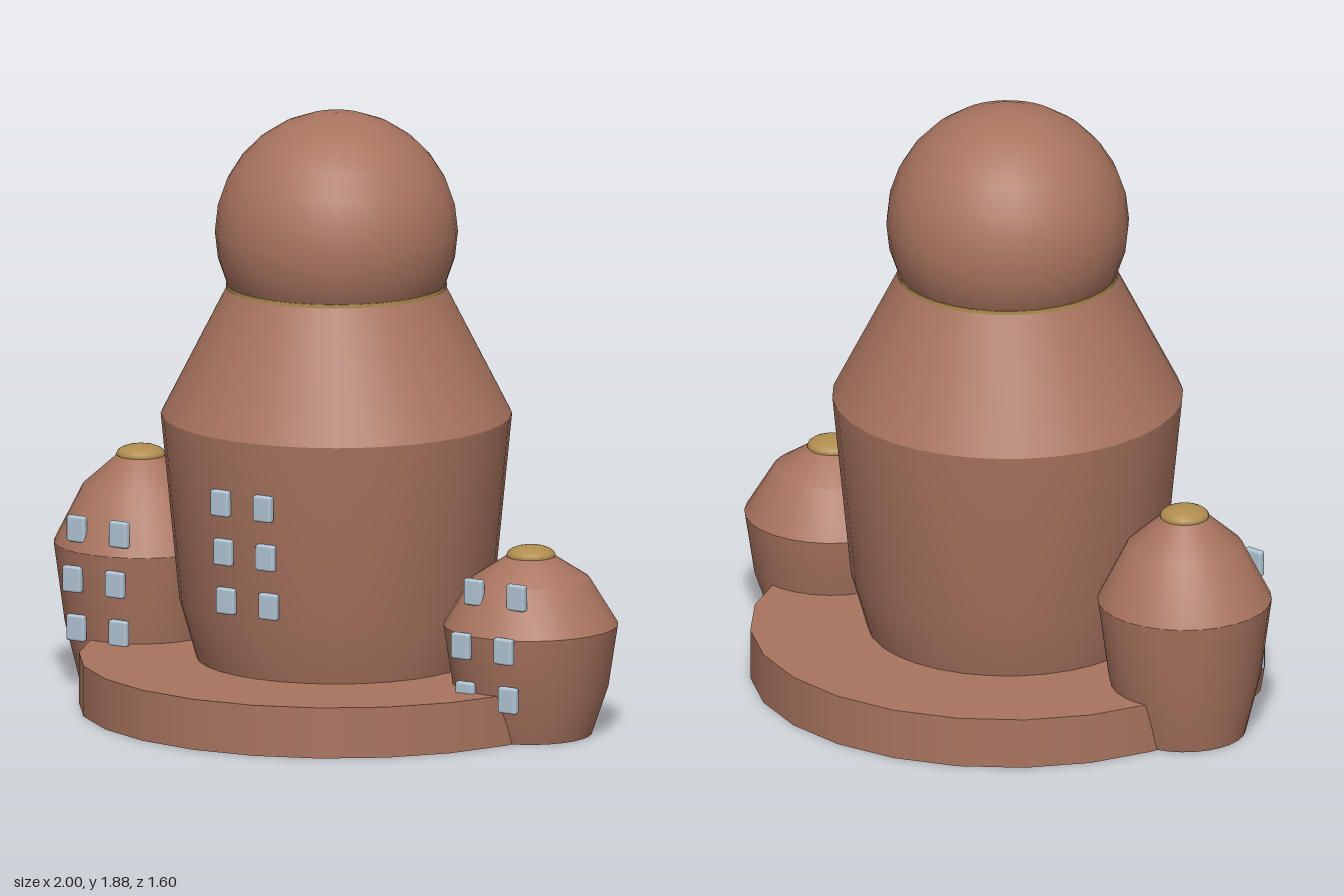
import * as THREE from 'three';
import { toCreasedNormals } from 'three/addons/utils/BufferGeometryUtils.js';
import { RoundedBoxGeometry } from 'three/addons/geometries/RoundedBoxGeometry.js';

function material(name, color) {
  const m = new THREE.MeshStandardMaterial({ color });
  m.name = name;
  return m;
}

export function createModel() {
  const clay = material('clay brown', 0xa9745f);
  const gold = material('dull gold', 0xb08d4f);
  const glass = material('pale blue glass', 0xb0c4d4);
  const model = new THREE.Group();
  model.name = 'clayTowers';

  function add(parent, name, geometry, mat, x = 0, y = 0, z = 0) {
    const mesh = new THREE.Mesh(geometry, mat);
    mesh.name = name;
    mesh.position.set(x, y, z);
    parent.add(mesh);
    return mesh;
  }

  // Closed turned body from [radius, height] pairs, sharp at the shoulder
  function turned(profile, segments) {
    const first = profile[0], last = profile[profile.length - 1];
    const points = [[0, first[1]], ...profile, [0, last[1]]].map(([r, y]) => new THREE.Vector2(r, y));
    return toCreasedNormals(new THREE.LatheGeometry(points, segments), 0.45);
  }

  // Radius of a profile at a given height
  function radiusAt(profile, y) {
    for (let i = 1; i < profile.length; i++) {
      const [r0, y0] = profile[i - 1], [r1, y1] = profile[i];
      if (y <= y1) return r0 + (r1 - r0) * (y - y0) / (y1 - y0);
    }
    return profile[profile.length - 1][0];
  }

  // Three rows of paired windows on the front of a body
  const pane = new RoundedBoxGeometry(0.067, 0.083, 0.025, 2, 0.008);
  function addWindows(parent, profile, rows) {
    for (const y of rows)
      for (const x of [-0.079, 0.079])
        add(parent, 'window', pane, glass, x, y, radiusAt(profile, y) + 0.003);
  }

  // Round plinth
  add(model, 'plinth', new THREE.CylinderGeometry(0.8, 0.8, 0.16, 24), clay, 0, 0.08, 0);

  // Main tower with collar and domed head
  const main = new THREE.Group();
  main.name = 'mainTower';
  model.add(main);
  const mainProfile = [[0.435, 0.16], [0.487, 0.34], [0.545, 0.93], [0.338, 1.335]];
  add(main, 'body', turned(mainProfile, 32), clay);
  addWindows(main, mainProfile, [0.725, 0.567, 0.41]);
  add(main, 'collar', new THREE.CylinderGeometry(0.343, 0.343, 0.012, 32), gold, 0, 1.336, 0);
  add(main, 'head', new THREE.SphereGeometry(0.377, 32, 14), clay, 0, 1.505, 0);

  // Side towers with gold caps
  function sideTower(name, x, profile, rows) {
    const tower = new THREE.Group();
    tower.name = name;
    tower.position.x = x;
    model.add(tower);
    add(tower, 'body', turned(profile, 28), clay);
    addWindows(tower, profile, rows);
    const top = profile[profile.length - 1][1];
    const cap = add(tower, 'cap', new THREE.SphereGeometry(0.077, 20, 10), gold, 0, top + 0.003, 0);
    cap.scale.y = 0.4;
  }
  sideTower('rightTower', -0.729,
    [[0.19, 0], [0.237, 0.19], [0.271, 0.44], [0.18, 0.62], [0.075, 0.713]], [0.51, 0.355, 0.197]);
  sideTower('leftTower', 0.725,
    [[0.19, 0], [0.243, 0.155], [0.272, 0.345], [0.183, 0.49], [0.075, 0.56]], [0.47, 0.312, 0.153]);

  return model;
}
